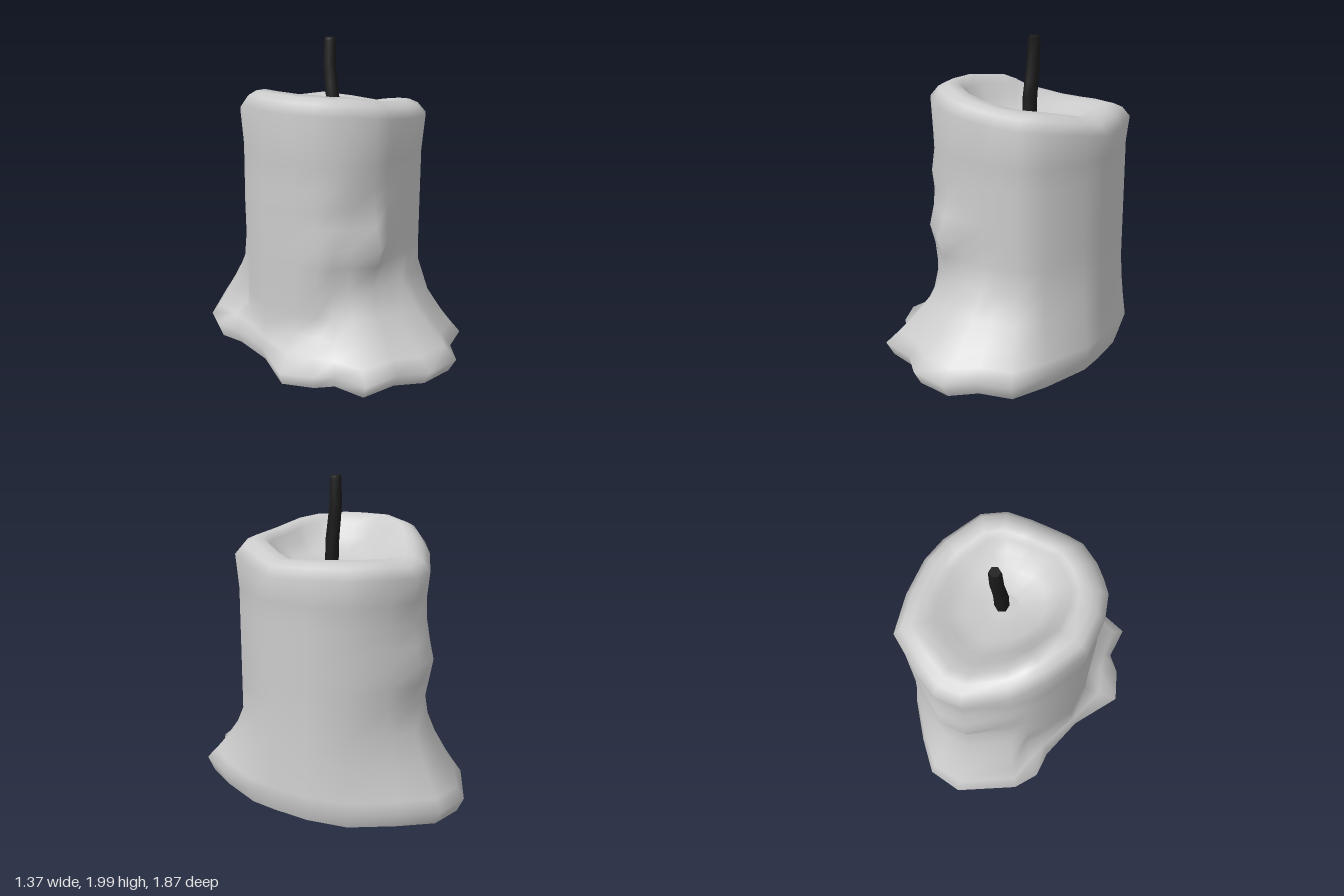
import * as THREE from 'three';

// Skins a stack of equal-length rings (bottom to top), with sharp-edged caps at both ends.
function loft(rings) {
  const n = rings[0].length, pos = [], idx = [];
  const push = (p) => pos.push(p.x, p.y, p.z);
  const cap = (ring, flip) => {
    const start = pos.length / 3;
    ring.forEach(push);
    push(ring.reduce((s, p) => s.add(p), new THREE.Vector3()).divideScalar(n));
    for (let j = 0; j < n; j++) {
      const a = start + j, b = start + (j + 1) % n;
      idx.push(start + n, ...(flip ? [a, b] : [b, a]));
    }
  };
  rings.forEach((ring) => ring.forEach(push));
  for (let r = 0; r < (rings.length - 1) * n; r += n) {
    for (let j = 0; j < n; j++) {
      const k = (j + 1) % n;
      idx.push(r + j, r + n + j, r + k, r + k, r + n + j, r + n + k);
    }
  }
  cap(rings[0], true);
  cap(rings[rings.length - 1], false);
  const geo = new THREE.BufferGeometry();
  geo.setAttribute('position', new THREE.Float32BufferAttribute(pos, 3));
  geo.setIndex(idx);
  geo.computeVertexNormals();
  return geo;
}

const CX = 0.09, CZ = -0.085;

// Height at which the spreading foot meets the shaft, by direction
function flareHeight(c, s) {
  if (c < -0.75) return 0.27;
  if (c > 0.75) return 0.7;
  return 0.25 + 0.35 * Math.abs(s) + 0.1 * Math.max(0, -s);
}

// Wax columns around the candle: foot x, foot z, rim radius, rim height
const COLUMNS = [
  [-0.03, -0.94, 0.6, 1.56], [0.2, -0.92, 0.62, 1.55], [0.38, -0.75, 0.6, 1.56],
  [0.58, -0.52, 0.63, 1.57], [0.66, -0.26, 0.57, 1.56], [0.68, 0, 0.58, 1.55],
  [0.68, 0.18, 0.59, 1.58], [0.59, 0.5, 0.64, 1.62], [0.49, 0.74, 0.64, 1.63],
  [0.28, 0.8, 0.61, 1.64], [0.14, 0.93, 0.6, 1.65], [-0.1, 0.9, 0.61, 1.67],
  [-0.25, 0.77, 0.63, 1.69], [-0.49, 0.71, 0.625, 1.71], [-0.5, 0.49, 0.625, 1.71],
  [-0.6, 0.4, 0.63, 1.72], [-0.69, 0.21, 0.61, 1.72], [-0.52, -0.1, 0.585, 1.72],
  [-0.45, -0.4, 0.54, 1.7], [-0.46, -0.57, 0.535, 1.67], [-0.37, -0.72, 0.545, 1.62],
].map(([x, z, rim, crest]) => {
  const a = Math.atan2(z - CZ, x - CX), c = Math.cos(a), s = Math.sin(a);
  return { a, c, s, rim, crest, flare: flareHeight(c, s), foot: Math.hypot(x - CX, z - CZ) };
});

// Wax runs on the shaft: angle, height, size, angular spread, vertical spread
const DRIPS = [
  [1.97, 0.81, 0.09, 0.15, 0.14],
  [2.35, 0.83, 0.05, 0.2, 0.13],
  [2.3, 1.18, 0.03, 0.2, 0.13],
  [4.68, 0.94, 0.06, 0.35, 0.15],
];

const columnRing = (place) => COLUMNS.map(place);
const at = (col, r, y, shift = 0) => new THREE.Vector3(CX + col.c * r, y, CZ + col.s * r + shift);

function bodyRadius(col, y) {
  const w = Math.max(0, 1 - Math.max(0, y - 0.1) / (col.flare - 0.1)) ** 1.5;
  let r = THREE.MathUtils.lerp(col.rim * 0.97, col.foot, w);
  for (const [angle, height, size, spread, rise] of DRIPS) {
    const d = Math.atan2(Math.sin(col.a - angle), Math.cos(col.a - angle));
    r += size * Math.exp(-((d / spread) ** 2) - ((y - height) / rise) ** 2);
  }
  return r;
}

function waxGeometry() {
  const rings = [columnRing((col) => at(col, col.foot * 0.95, 0.01))];
  // foot and shaft
  for (const y of [0.1, 0.17, 0.25, 0.38, 0.54, 0.7, 0.82, 0.95, 1.06, 1.18, 1.32]) {
    rings.push(columnRing((col) => at(col, bodyRadius(col, y), y)));
  }
  // rounded shoulder: radius scale, distance below the crest
  for (const [scale, drop] of [[1, 0.09], [0.92, 0.03], [0.83, 0.005], [0.73, 0]]) {
    rings.push(columnRing((col) => at(col, col.rim * scale, col.crest - drop)));
  }
  // melted bowl, set slightly forward: radius scale, share of the depth down to the floor, shift
  for (const [scale, depth, shift] of [[0.64, 0.22, 0.025], [0.54, 0.6, 0.04], [0.4, 0.9, 0.05], [0.15, 1, 0.05]]) {
    rings.push(columnRing((col) => at(col, col.rim * scale, THREE.MathUtils.lerp(col.crest, 1.47, depth), shift)));
  }
  return loft(rings);
}

function wickGeometry() {
  // centre line x, y, z and thickness
  const path = [
    [0.106, 1.45, -0.03, 0.045], [0.106, 1.62, -0.036, 0.045], [0.107, 1.72, -0.05, 0.043],
    [0.11, 1.83, -0.065, 0.041], [0.115, 1.98, -0.067, 0.038], [0.116, 2, -0.067, 0.034],
  ];
  return loft(path.map(([x, y, z, r]) => Array.from({ length: 6 }, (_, j) => {
    const a = (j / 6) * Math.PI * 2 + Math.PI / 6;
    return new THREE.Vector3(x + r * Math.cos(a), y, z + r * Math.sin(a));
  })));
}

export function createModel() {
  const group = new THREE.Group();
  group.name = 'candle';
  const add = (name, geo, color) => {
    const mesh = new THREE.Mesh(geo, new THREE.MeshStandardMaterial({ color }));
    mesh.name = name;
    group.add(mesh);
  };
  add('waxBody', waxGeometry(), 0xcccccc);
  add('wick', wickGeometry(), 0x1a1a1a);
  return group;
}
